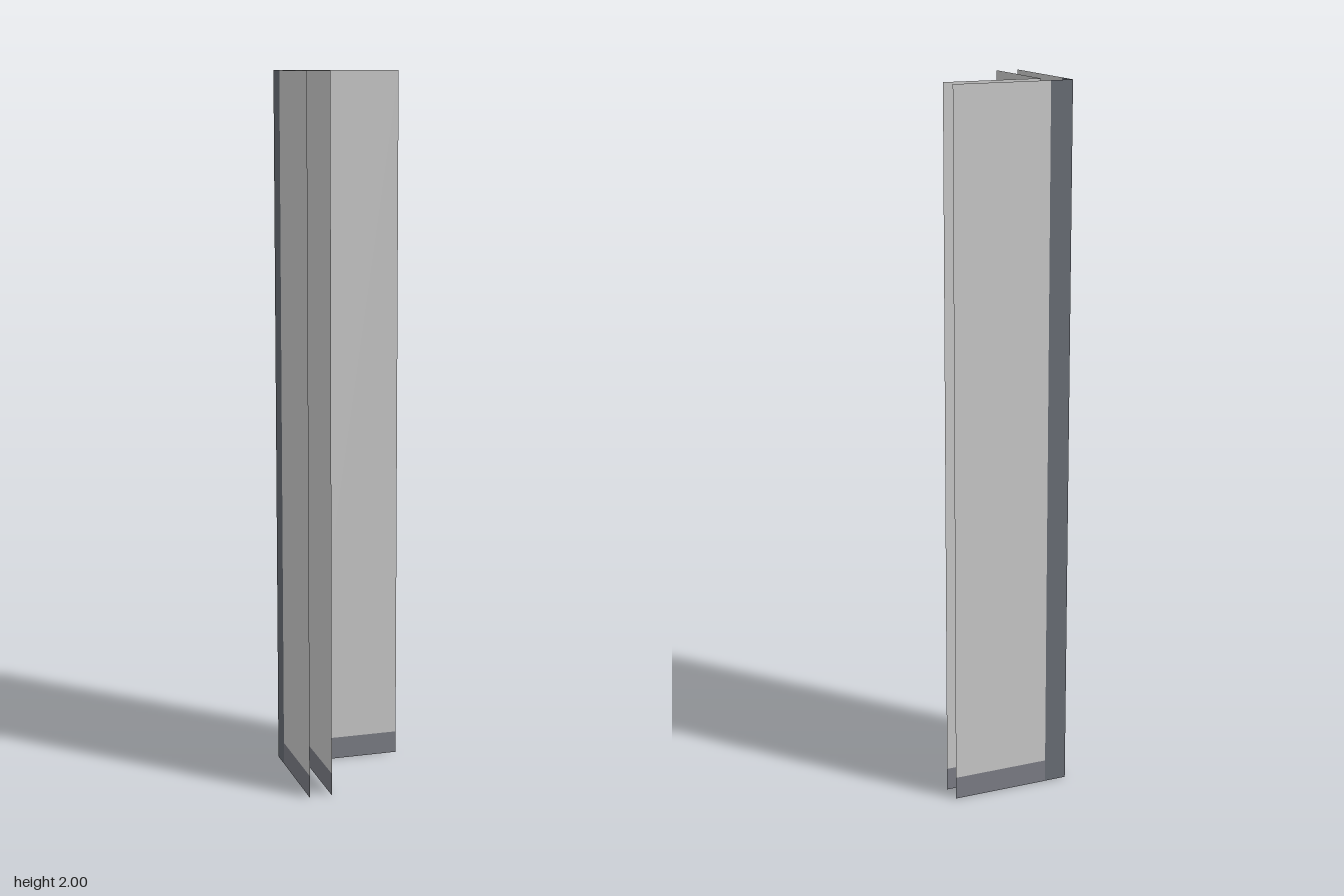
import * as THREE from 'three';

const HALF = 0.172;   // half of the footprint
const THICK = 0.064;  // gap between sheets, also trim width
const HEIGHT = 2;

const material = (color) => new THREE.MeshStandardMaterial({ color, side: THREE.DoubleSide });

export function createModel() {
  const panelMat = material(0xcccccc);
  const baseMat = material(0x7d7f87);
  const postMat = material(0x696e76);
  const inner = -HALF + THICK;

  // upright sheet running from a to b along a wall, at the given depth
  function sheet(name, mat, a, b, y0, y1, depth, outward) {
    const mesh = new THREE.Mesh(new THREE.PlaneGeometry(b - a, y1 - y0), mat);
    mesh.name = name;
    mesh.position.set((a + b) / 2, (y0 + y1) / 2, depth);
    if (outward) mesh.rotation.y = Math.PI;
    return mesh;
  }

  // one wall along x: two thin open sheets with skirting, and a corner post strip
  function wall(name) {
    const g = new THREE.Group();
    g.name = name;
    g.add(
      sheet('innerPanel', panelMat, inner, HALF, THICK, HEIGHT, inner, false),
      sheet('innerSkirting', baseMat, inner, HALF, 0, THICK, inner, false),
      sheet('outerPanel', panelMat, inner, HALF, THICK, HEIGHT, -HALF, true),
      sheet('outerSkirting', baseMat, inner, HALF, 0, THICK, -HALF, true),
      sheet('cornerPost', postMat, -HALF, inner, 0, HEIGHT, -HALF, true)
    );
    return g;
  }

  const model = new THREE.Group();
  model.name = 'cornerWall';
  const backWall = wall('backWall');
  // the side wall is the same wall turned a quarter, with its post kept at the shared corner
  const sideWall = wall('sideWall');
  sideWall.rotation.y = Math.PI / 2;
  for (const mesh of sideWall.children) mesh.position.x *= -1;
  model.add(backWall, sideWall);
  return model;
}
